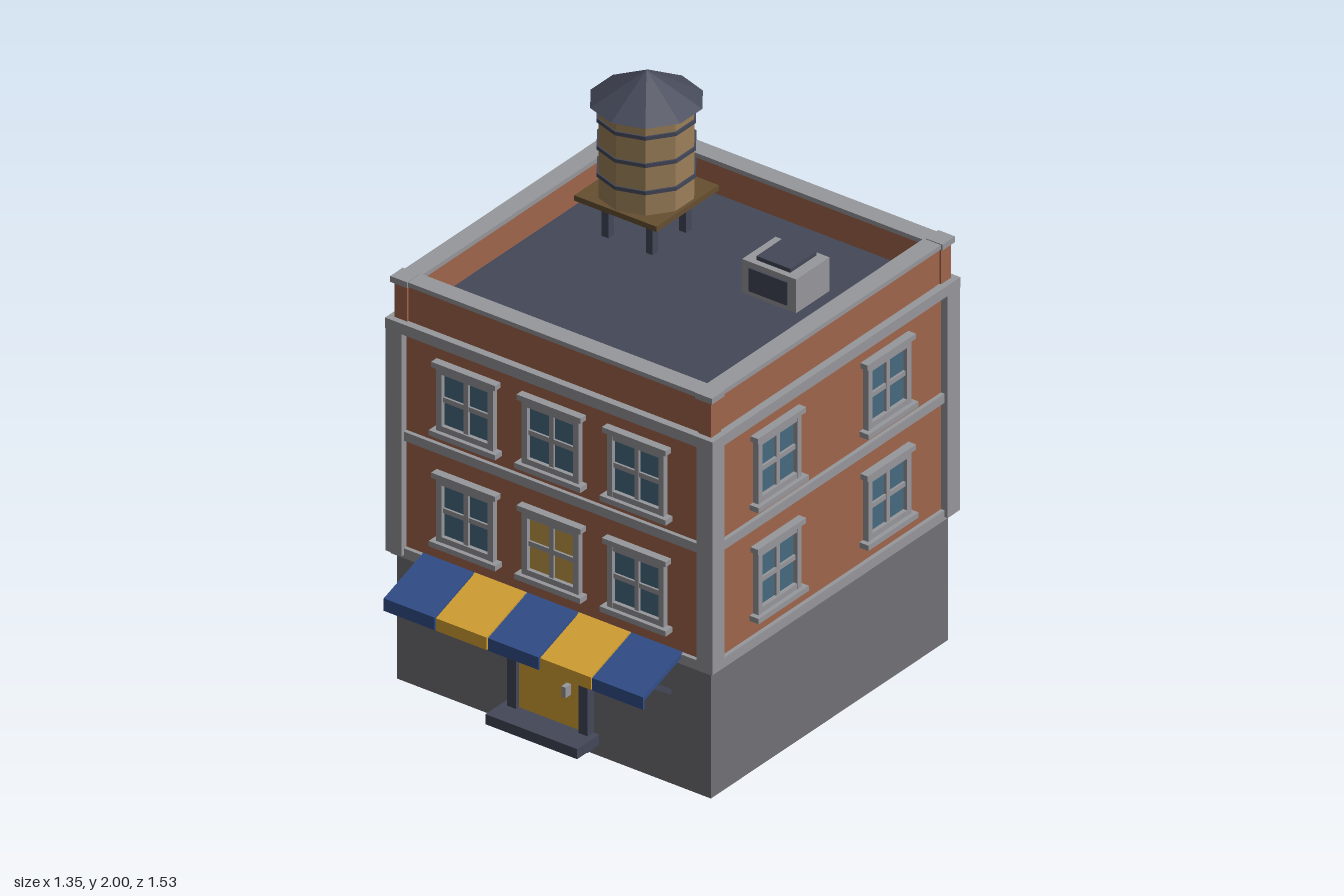
import * as THREE from 'three';

const mat = (name, color) => Object.assign(new THREE.MeshStandardMaterial({ color }), { name });
const M = {
  stone: mat('base stone', 0x717076),
  trim: mat('grey trim', 0x97989c),
  brick: mat('brick', 0xa0654b),
  dark: mat('dark slate', 0x444858),
  glass: mat('window glass', 0x486a80),
  lit: mat('lit glass', 0xc39b49),
  yellow: mat('yellow', 0xd6a234),
  blue: mat('blue', 0x324f8a),
  wood: mat('barrel wood', 0x9c8059),
  deck: mat('deck wood', 0x664f31),
};

function add(parent, name, geo, material, x = 0, y = 0, z = 0) {
  const m = new THREE.Mesh(geo, material);
  m.name = name;
  m.position.set(x, y, z);
  parent.add(m);
  return m;
}

// box given by its extents
function box(parent, name, material, x0, x1, y0, y1, z0, z1) {
  return add(parent, name, new THREE.BoxGeometry(x1 - x0, y1 - y0, z1 - z0), material,
    (x0 + x1) / 2, (y0 + y1) / 2, (z0 + z1) / 2);
}

function group(parent, name, x = 0, y = 0, z = 0) {
  const g = new THREE.Group();
  g.name = name;
  g.position.set(x, y, z);
  parent.add(g);
  return g;
}

// square ring lying flat, outer and inner half widths
function ring(parent, name, material, outer, inner, y0, y1) {
  const square = (Type, h) => new Type([[-h, -h], [h, -h], [h, h], [-h, h]].map(p => new THREE.Vector2(...p)));
  const shape = square(THREE.Shape, outer);
  shape.holes.push(square(THREE.Path, inner));
  const geo = new THREE.ExtrudeGeometry(shape, { depth: y1 - y0, bevelEnabled: false });
  geo.rotateX(-Math.PI / 2);
  return add(parent, name, geo, material, 0, y0, 0);
}

// window facing +z with the wall plane at z = 0
function makeWindow(parent, x, y, z, turn, glass) {
  const w = group(parent, 'window', x, y, z);
  w.rotation.y = turn;
  box(w, 'pane', glass, -0.1, 0.1, -0.11, 0.11, 0, 0.006);
  for (const s of [-1, 1]) {
    const c = s * 0.105;
    box(w, 'sideFrame', M.trim, c - 0.011, c + 0.011, -0.12, 0.12, 0, 0.022);
    box(w, 'crossFrame', M.trim, -0.1, 0.1, s * 0.108 - 0.011, s * 0.108 + 0.011, 0, 0.021);
  }
  box(w, 'mullion', M.trim, -0.009, 0.009, -0.11, 0.11, 0, 0.015);
  box(w, 'transom', M.trim, -0.1, 0.1, -0.009, 0.009, 0, 0.014);
  box(w, 'sill', M.trim, -0.135, 0.135, -0.138, -0.118, 0, 0.037);
  box(w, 'lintel', M.trim, -0.13, 0.13, 0.118, 0.138, 0, 0.03);
}

function makeBuilding(root) {
  const b = group(root, 'building', 0, 0, -0.092);
  const H = 0.64;
  box(b, 'groundFloor', M.stone, -H, H, 0, 0.48, -H, H);
  box(b, 'brickWalls', M.brick, -H, H, 0.48, 1.36, -H, H);
  ring(b, 'lowerBand', M.trim, 0.655, 0.6, 0.475, 0.512);
  ring(b, 'middleBand', M.trim, 0.655, 0.6, 0.918, 0.952);
  ring(b, 'cornice', M.trim, 0.668, 0.58, 1.325, 1.365);
  ring(b, 'parapet', M.brick, 0.64, 0.59, 1.36, 1.505);
  ring(b, 'coping', M.trim, 0.65, 0.58, 1.5, 1.517);
  box(b, 'roofFloor', M.dark, -0.6, 0.6, 1.355, 1.385, -0.6, 0.6);

  // corner pilasters and parapet posts
  for (const sx of [-1, 1]) for (const sz of [-1, 1]) {
    const corner = (name, m, c, size, y0, y1) => box(b, name, m,
      sx * c - size / 2, sx * c + size / 2, y0, y1, sz * c - size / 2, sz * c + size / 2);
    corner('pilaster', M.trim, 0.634, 0.066, 0.487, 1.33);
    corner('parapetPost', M.brick, 0.62, 0.052, 1.36, 1.502);
    corner('postCap', M.trim, 0.622, 0.068, 1.498, 1.52);
  }

  // front and side windows
  for (const y of [0.71, 1.128]) {
    for (const x of [-0.348, 0, 0.348])
      makeWindow(b, x, y, H, 0, x === 0 && y < 1 ? M.lit : M.glass);
    for (const s of [-1, 1]) for (const z of [-0.296, 0.296])
      makeWindow(b, s * H, y, z, s * Math.PI / 2, M.glass);
  }
}

function makeEntrance(root) {
  const e = group(root, 'entrance', 0, 0, 0.548);
  box(e, 'door', M.yellow, -0.13, 0.13, 0.02, 0.45, 0, 0.02);
  for (const s of [-1, 1])
    box(e, 'doorJamb', M.dark, s * 0.146 - 0.018, s * 0.146 + 0.018, 0.02, 0.475, 0, 0.036);
  box(e, 'doorHead', M.dark, -0.13, 0.13, 0.44, 0.475, 0, 0.035);
  box(e, 'doorPane', M.lit, -0.075, 0.075, 0.265, 0.385, 0.02, 0.025);
  box(e, 'doorHandle', M.trim, 0.068, 0.085, 0.205, 0.245, 0.02, 0.05);
  box(e, 'doorstep', M.dark, -0.187, 0.187, 0.045, 0.083, 0.005, 0.122);
}

function makeAwning(root) {
  const a = group(root, 'awning');
  // side profile of one stripe as (z, y)
  const profile = new THREE.Shape([[0.555, 0.518], [0.768, 0.445], [0.768, 0.398], [0.758, 0.398],
    [0.758, 0.43], [0.555, 0.498]].map(p => new THREE.Vector2(...p)));
  for (let i = 0; i < 5; i++) {
    const geo = new THREE.ExtrudeGeometry(profile, { depth: 0.207, bevelEnabled: false });
    geo.rotateY(-Math.PI / 2);
    add(a, 'awningStripe', geo, i % 2 ? M.yellow : M.blue, -0.53 + 0.2125 * i + 0.209, 0, 0);
  }
  for (const s of [-1, 1]) {
    const strut = box(a, 'awningStrut', M.dark, -0.009, 0.009, -0.009, 0.009, -0.1, 0.1);
    strut.position.set(s * 0.47, 0.4, 0.628);
    strut.rotation.x = -0.6;
  }
}

function makeWaterTank(root) {
  const t = group(root, 'waterTank', -0.298, 0, -0.345);
  const N = 10;
  const drum = (name, m, rTop, rBottom, y0, y1) => {
    const geo = new THREE.CylinderGeometry(rTop, rBottom, y1 - y0, N).toNonIndexed();
    geo.computeVertexNormals();
    return add(t, name, geo, m, 0, (y0 + y1) / 2, 0);
  };
  for (const sx of [-1, 1]) for (const sz of [-1, 1])
    box(t, 'tankLeg', M.dark, sx * 0.09 - 0.014, sx * 0.09 + 0.014, 1.38, 1.53, sz * 0.09 - 0.014, sz * 0.09 + 0.014);
  box(t, 'tankDeck', M.deck, -0.168, 0.168, 1.525, 1.545, -0.168, 0.168);
  drum('barrel', M.wood, 0.164, 0.164, 1.545, 1.89);
  for (const y of [1.632, 1.735, 1.838]) drum('barrelHoop', M.dark, 0.17, 0.17, y - 0.007, y + 0.007);
  const roof = new THREE.ConeGeometry(0.192, 0.112, N).toNonIndexed();
  roof.computeVertexNormals();
  add(t, 'tankRoof', roof, M.dark, 0, 1.944, 0);
}

function makeRoofUnit(root) {
  const u = group(root, 'roofUnit', 0.293, 0, -0.315);
  box(u, 'unitBody', M.trim, -0.11, 0.11, 1.38, 1.512, -0.09, 0.09);
  box(u, 'unitLid', M.dark, -0.069, 0.069, 1.512, 1.527, -0.073, 0.067);
  box(u, 'unitGrille', M.dark, -0.078, 0.078, 1.405, 1.492, 0.09, 0.097);
}

export function createModel() {
  const root = new THREE.Group();
  root.name = 'cornerBuilding';
  makeBuilding(root);
  makeEntrance(root);
  makeAwning(root);
  makeWaterTank(root);
  makeRoofUnit(root);
  return root;
}
